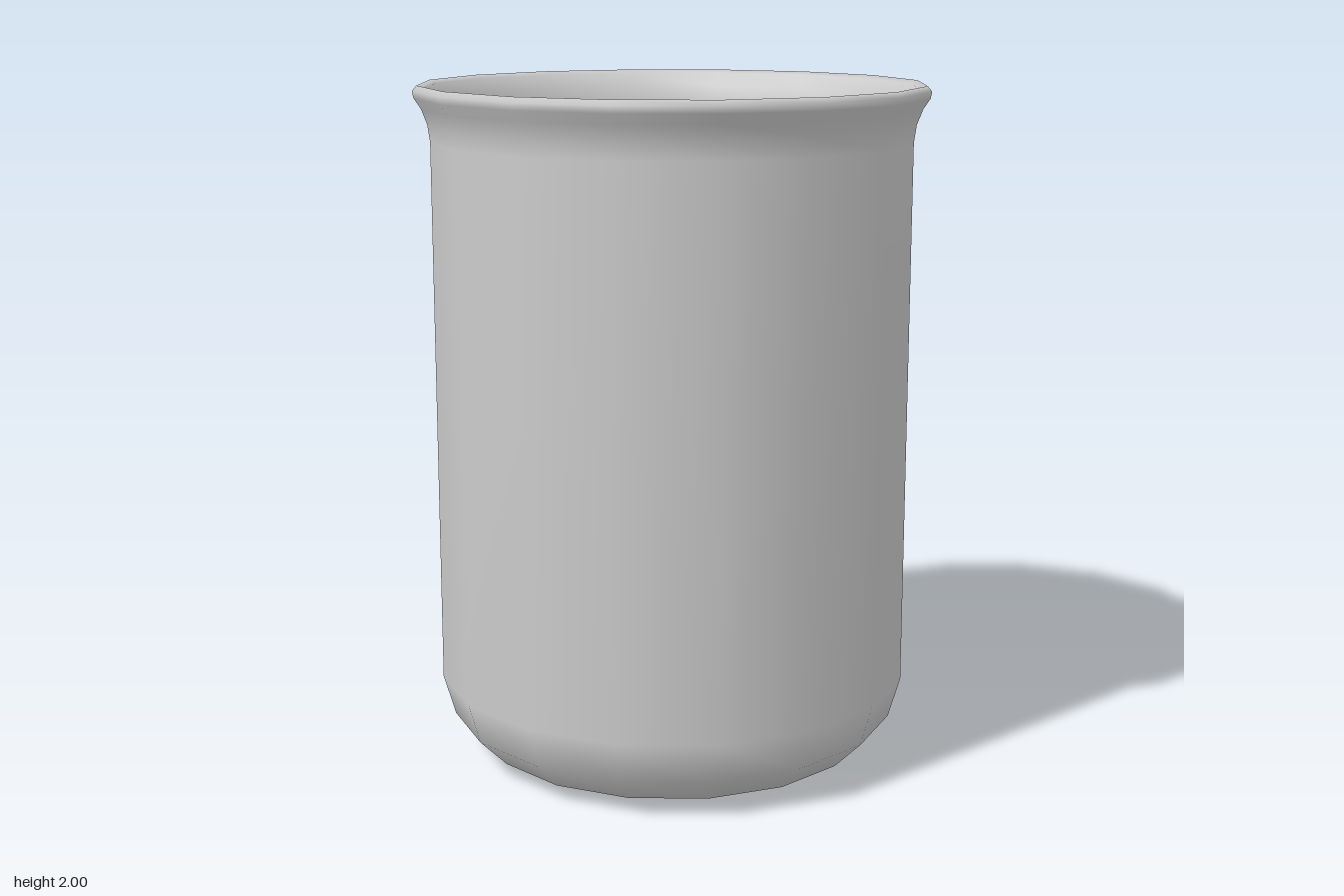
import * as THREE from 'three';

const SIDES = 16;

// Turns a list of [radius, height] pairs around the y axis
function turn(name, profile, material) {
  const points = profile.map(([r, y]) => new THREE.Vector2(r, y));
  const mesh = new THREE.Mesh(new THREE.LatheGeometry(points, SIDES), material);
  mesh.name = name;
  return mesh;
}

export function createModel() {
  const model = new THREE.Group();
  model.name = 'beaker';

  const glass = new THREE.MeshStandardMaterial({ color: 0xcccccc });
  const green = new THREE.MeshStandardMaterial({ color: 0x10dca8 });

  // Vessel: outer base and wall, flared lip, then inner wall and floor
  model.add(turn('vessel', [
    [0, 0], [0.44, 0], [0.58, 0.035], [0.665, 0.12], [0.7, 0.24],
    [0.7, 1.84], [0.707, 1.89], [0.724, 1.935], [0.744, 1.965],
    [0.748, 1.985], [0.735, 2], [0.717, 1.99],
    [0.69, 1.95], [0.672, 1.9], [0.665, 1.84],
    [0.665, 0.25], [0.635, 0.15], [0.56, 0.075], [0.43, 0.04], [0, 0.04],
  ], glass));

  // Liquid: rounded body following the inner wall, with a flat surface
  const level = 1.0;
  const radius = 0.653;
  const liquid = new THREE.Group();
  liquid.name = 'liquid';
  liquid.add(turn('liquidBody', [
    [0, 0.05], [0.42, 0.05], [0.55, 0.085], [0.625, 0.155], [radius, 0.25], [radius, level],
  ], green));

  const surface = new THREE.Mesh(new THREE.CircleGeometry(radius, SIDES), green);
  surface.name = 'liquidSurface';
  surface.rotation.x = -Math.PI / 2;
  surface.position.y = level;
  liquid.add(surface);
  model.add(liquid);

  return model;
}
